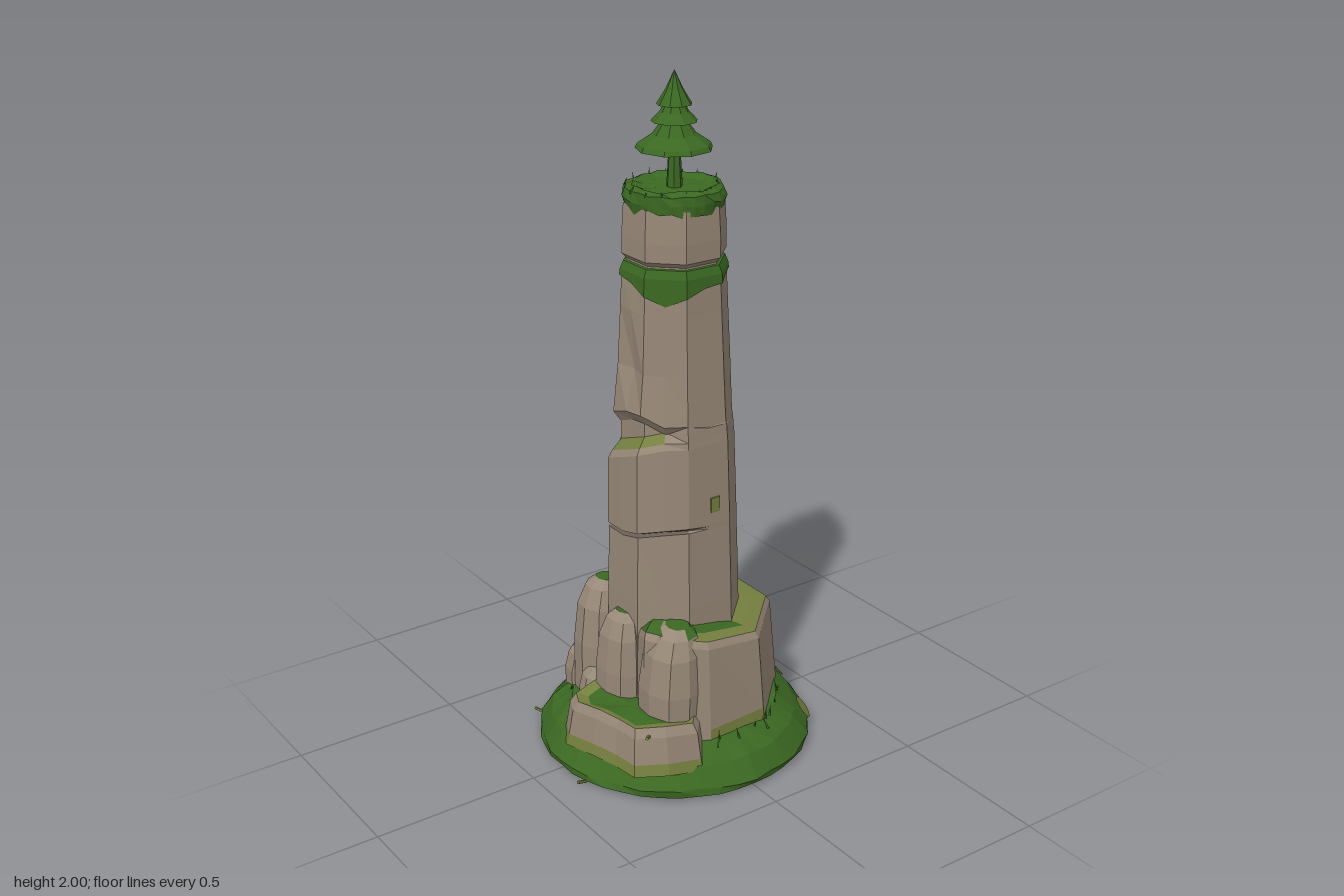
import * as THREE from 'three';

const material = (name, color, side = THREE.FrontSide) => {
  const m = new THREE.MeshStandardMaterial({ color, side, flatShading: true });
  m.name = name;
  return m;
};

export function createModel() {
  const stone = material('stone', 0x978877);
  const darkStone = material('dark stone', 0x6a5f53);
  const grass = material('grass', 0x3b6822, THREE.DoubleSide);
  const moss = material('moss', 0x76803f, THREE.DoubleSide);
  const root = new THREE.Group();
  root.name = 'rockPillar';

  let seed = 7;
  const rand = () => (seed = (seed * 16807) % 2147483647) / 2147483647;
  const jitter = (a) => (rand() - 0.5) * 2 * a;
  const V = (x, y, z) => new THREE.Vector3(x, y, z);

  // Skins a stack of closed rings; pick(band, i) gives the material of each quad
  function loft(name, rings, pick, capTop, capBottom) {
    const byMat = new Map();
    const tri = (m, ...pts) => {
      if (!byMat.has(m)) byMat.set(m, []);
      pts.forEach((p) => byMat.get(m).push(p.x, p.y, p.z));
    };
    const n = rings[0].length;
    const centre = (r) => r.reduce((s, p) => s.add(p), V(0, 0, 0)).divideScalar(n);
    for (let b = 0; b < rings.length - 1; b++) {
      for (let i = 0; i < n; i++) {
        const j = (i + 1) % n, lo = rings[b], hi = rings[b + 1], m = pick(b, i);
        tri(m, lo[i], hi[i], hi[j]);
        tri(m, lo[i], hi[j], lo[j]);
      }
    }
    const top = rings[rings.length - 1], ct = centre(top), cb = centre(rings[0]);
    for (let i = 0; i < n; i++) {
      const j = (i + 1) % n;
      if (capTop) tri(capTop, ct, top[j], top[i]);
      if (capBottom) tri(capBottom, cb, rings[0][i], rings[0][j]);
    }
    const geo = new THREE.BufferGeometry(), all = [], mats = [];
    for (const [m, list] of byMat) {
      geo.addGroup(all.length / 3, list.length / 3, mats.length);
      mats.push(m);
      for (const v of list) all.push(v);
    }
    geo.setAttribute('position', new THREE.Float32BufferAttribute(all, 3));
    geo.computeVertexNormals();
    const mesh = new THREE.Mesh(geo, mats);
    mesh.name = name;
    root.add(mesh);
    return mesh;
  }
  const circle = (n, r, y, dr = 0, dy = 0) => Array.from({ length: n }, (_, i) => {
    const a = (i / n) * Math.PI * 2, q = r + jitter(dr);
    return V(q * Math.cos(a), y + jitter(dy), q * Math.sin(a));
  });
  // Octagon with flats on the axes, 16 points: even are flat centres, odd are corners
  const octagon = (a, yAt, push = () => 0) => Array.from({ length: 16 }, (_, i) => {
    const t = (i / 16) * Math.PI * 2;
    const r = (i % 2 ? a / Math.cos(Math.PI / 8) : a) + push(i);
    const x = r * Math.cos(t), z = r * Math.sin(t);
    return V(x, typeof yAt === 'number' ? yAt : yAt(x, z, i), z);
  });

  // Grassy mound
  loft('groundMound', [circle(44, 0.405, 0.01, 0.004), circle(44, 0.405, 0.03, 0.007, 0.004),
    circle(44, 0.365, 0.085, 0.006, 0.006), circle(44, 0.305, 0.128, 0.005, 0.004)],
  () => grass, grass, grass);

  // Wide plinth: [x, z, top height]
  const plinth = [[0.295, 0.08, 0.43], [0.25, 0.18, 0.45], [0.16, 0.225, 0.45], [0.1, 0.2, 0.43],
    [0, 0.17, 0.4], [-0.12, 0.17, 0.4], [-0.24, 0.13, 0.39], [-0.298, 0.08, 0.39],
    [-0.285, -0.12, 0.4], [-0.1, -0.308, 0.4], [0.1, -0.308, 0.4], [0.285, -0.12, 0.405]];
  const plinthRing = (s, yAt) => plinth.map(([x, z, h]) => V(x * s, yAt(h), z * s));
  loft('plinth', [plinthRing(1.01, () => 0.11), plinthRing(0.995, () => 0.16),
    plinthRing(0.93, (h) => h - 0.02), plinthRing(0.89, (h) => h),
    plinthRing(0.76, (h) => h + 0.008), plinthRing(0.5, (h) => h + 0.015)],
  (b, i) => {
    if (b === 0) return i === 11 || i === 9 ? moss : stone;
    if (b < 3) return stone;
    if (b === 3) return i < 7 && i > 0 ? grass : moss;
    return i < 6 || i === 11 ? grass : moss;
  });

  // Low curved ledge in front
  const ledge = [[0.33, 0.14], [0.31, 0.24], [0.25, 0.315], [0.17, 0.325], [0.1, 0.355], [0.0, 0.375],
    [-0.055, 0.35], [-0.075, 0.26], [-0.06, 0.17], [0.1, 0.14], [0.24, 0.06]];
  const ledgeRing = (s, y) => ledge.map(([x, z], i) =>
    V(0.12 + (x - 0.12) * s, y + (i % 3 === 1 ? 0.01 : 0), 0.2 + (z - 0.2) * s));
  loft('frontLedge', [ledgeRing(1.04, 0.07), ledgeRing(1.0, 0.105), ledgeRing(0.94, 0.185),
    ledgeRing(0.86, 0.212), ledgeRing(0.7, 0.205)],
  (b) => [moss, stone, stone, moss][b], grass);

  // Boulders: name, x, z, width, depth, bottom, top
  [['leftBoulder', -0.15, 0.165, 0.15, 0.14, 0.13, 0.49], ['middleBoulder', 0.003, 0.195, 0.15, 0.12, 0.13, 0.455],
    ['rightBoulder', 0.18, 0.145, 0.2, 0.17, 0.13, 0.465], ['sideBoulder', -0.235, 0.1, 0.1, 0.16, 0.1, 0.385],
    ['lowLeftBoulder', -0.215, 0.165, 0.14, 0.13, 0.1, 0.25], ['lowMiddleBoulder', -0.1, 0.205, 0.12, 0.11, 0.1, 0.235],
  ].forEach(([name, x, z, w, d, y0, y1]) => {
    const base = circle(9, 1, 0, 0.07);
    const ring = (t, s, back) => base.map((p) =>
      V(x + p.x * s * w / 2, y0 + (y1 - y0) * t, z - back * d + p.z * s * d / 2));
    loft(name, [ring(0, 1.06, 0), ring(0.45, 1.06, 0), ring(0.78, 0.95, 0.04), ring(0.94, 0.72, 0.1),
      ring(1, 0.4, 0.16)], (b, i) => (b === 3 && i > 4 ? grass : stone), grass);
  });

  // Octagonal shaft with a crack, a mossy slanted ledge and an overhang on the front
  const front = (i) => i >= 2 && i <= 6;
  const frontPush = (d) => (i) => (front(i) ? d : 0);
  const crackY = (o) => (x, z) => 0.7 + o + Math.max(0, x) * 0.25 - Math.max(0, 0.12 - z) * 0.05;
  const crackPush = (i) => (i >= 1 && i <= 5 ? -0.012 : 0);
  const ledgeY = (o) => (x, z, i) => 0.955 + o + (front(i) ? x * 0.38 : x * 0.3);
  loft('shaft', [
    octagon(0.184, 0.3), octagon(0.179, 0.5, frontPush(0.004)),
    octagon(0.172, crackY(-0.007), frontPush(0.006)), octagon(0.172, crackY(0), crackPush),
    octagon(0.172, crackY(0.007), frontPush(0.01)),
    octagon(0.163, ledgeY(-0.02), frontPush(0.016)), octagon(0.161, ledgeY(0), frontPush(0.007)),
    octagon(0.159, ledgeY(0.03), frontPush(-0.018)),
    octagon(0.157, (x, z, i) => 1.035 + 0.02 * Math.sin(i * 2.3), frontPush(-0.016)),
    octagon(0.155, (x, z, i) => 1.065 + 0.02 * Math.sin(i * 2.3), (i) => (front(i) ? 0.008 : 0)),
    octagon(0.149, 1.19, (i) => (i === 4 ? -0.015 : 0)), octagon(0.141, 1.36, (i) => (i === 4 ? 0.004 : 0)),
    octagon(0.137, 1.45), octagon(0.128, 1.475), octagon(0.118, 1.52)],
  (b, i) => {
    if ((b === 2 || b === 3) && i >= 1 && i <= 4) return darkStone;
    if (b === 6 && i >= 2 && i < 6) return moss;
    return stone;
  });

  // Grass collar hanging over the shaft's top
  const drape = [0.015, 0.035, 0.06, 0.035, 0.01, 0, 0, 0.02, 0, 0, 0.03, 0.06, 0.02, 0, 0, 0.01];
  loft('grassCollar', [octagon(0.143, (x, z, i) => 1.448 - drape[i]), octagon(0.141, 1.465),
    octagon(0.132, 1.488), octagon(0.115, 1.492)], () => grass);

  // Capstone and its turf
  loft('capstone', [octagon(0.12, 1.49), octagon(0.136, 1.508), octagon(0.136, 1.56), octagon(0.131, 1.65)],
    () => stone, null, darkStone);
  loft('capTurf', [circle(28, 0.136, 1.64, 0.005, 0.012), circle(28, 0.142, 1.665, 0.004, 0.004),
    circle(28, 0.136, 1.69, 0.005, 0.004), circle(28, 0.115, 1.698, 0.004, 0.004),
    circle(28, 0.09, 1.686, 0.003, 0.002)], () => grass, grass, grass);

  // Small conifer
  const part = (name, geo, mat, x, y, z) => {
    const mesh = new THREE.Mesh(geo, mat);
    mesh.name = name;
    mesh.position.set(x, y, z);
    root.add(mesh);
    return mesh;
  };
  part('treeTrunk', new THREE.CylinderGeometry(0.015, 0.023, 0.14, 7), grass, 0, 1.75, 0);
  const tree = [[0.012, 1.815], [0.107, 1.79], [0.1, 1.803], [0.06, 1.83], [0.034, 1.866], [0.064, 1.864],
    [0.04, 1.89], [0.026, 1.913], [0.049, 1.909], [0.024, 1.95], [0.0005, 2.0]];
  part('treeFoliage', new THREE.LatheGeometry(tree.map(([r, y]) => new THREE.Vector2(r, y)), 9), grass, 0, 0, 0);

  // Grass blades round the mound and on the cap
  const blade = new THREE.ConeGeometry(0.004, 1, 3);
  const blades = (name, count, r, y, h) => {
    for (let i = 0; i < count; i++) {
      const a = (i / count) * Math.PI * 2 + jitter(0.1), q = r + jitter(0.012), len = h * (0.6 + rand() * 0.6);
      const m = part(name, blade, grass, q * Math.cos(a), y + len * 0.4, q * Math.sin(a));
      m.scale.y = len;
      m.rotation.set(jitter(0.4), 0, jitter(0.4));
    }
  };
  blades('moundBlade', 42, 0.318, 0.115, 0.045);
  blades('capBlade', 16, 0.128, 1.685, 0.025);

  // Moss patches on the shaft and pale spots on the mound
  part('rightMossPatch', new THREE.BoxGeometry(0.009, 0.045, 0.03), moss, 0.169, 0.8, -0.02);
  part('leftMossPatch', new THREE.BoxGeometry(0.009, 0.08, 0.025), grass, -0.168, 0.8, 0.01);
  part('leftMossShelf', new THREE.BoxGeometry(0.015, 0.03, 0.09), grass, -0.156, 1.06, -0.05);
  [[0, -1, 0.03], [0.58, -0.81, 0.036]].forEach(([x, z, r]) => {
    const spot = part('paleSpot', new THREE.CircleGeometry(r, 10), moss, x * 0.392, 0.067, z * 0.392);
    spot.lookAt(x * 0.392 + x * 0.81, 0.067 + 0.59, z * 0.392 + z * 0.81);
  });

  // Twigs poking from the mound
  [[-0.29, 0.015, 0.3], [0.112, 0.012, 0.405], [0.275, 0.2, 0.285]].forEach(([x, y, z]) => {
    const twig = part('twig', new THREE.CylinderGeometry(0.005, 0.005, 0.035, 5), moss, x, y, z);
    twig.rotation.set(1.2, Math.atan2(x, z), 0, 'YXZ');
  });
  return root;
}
